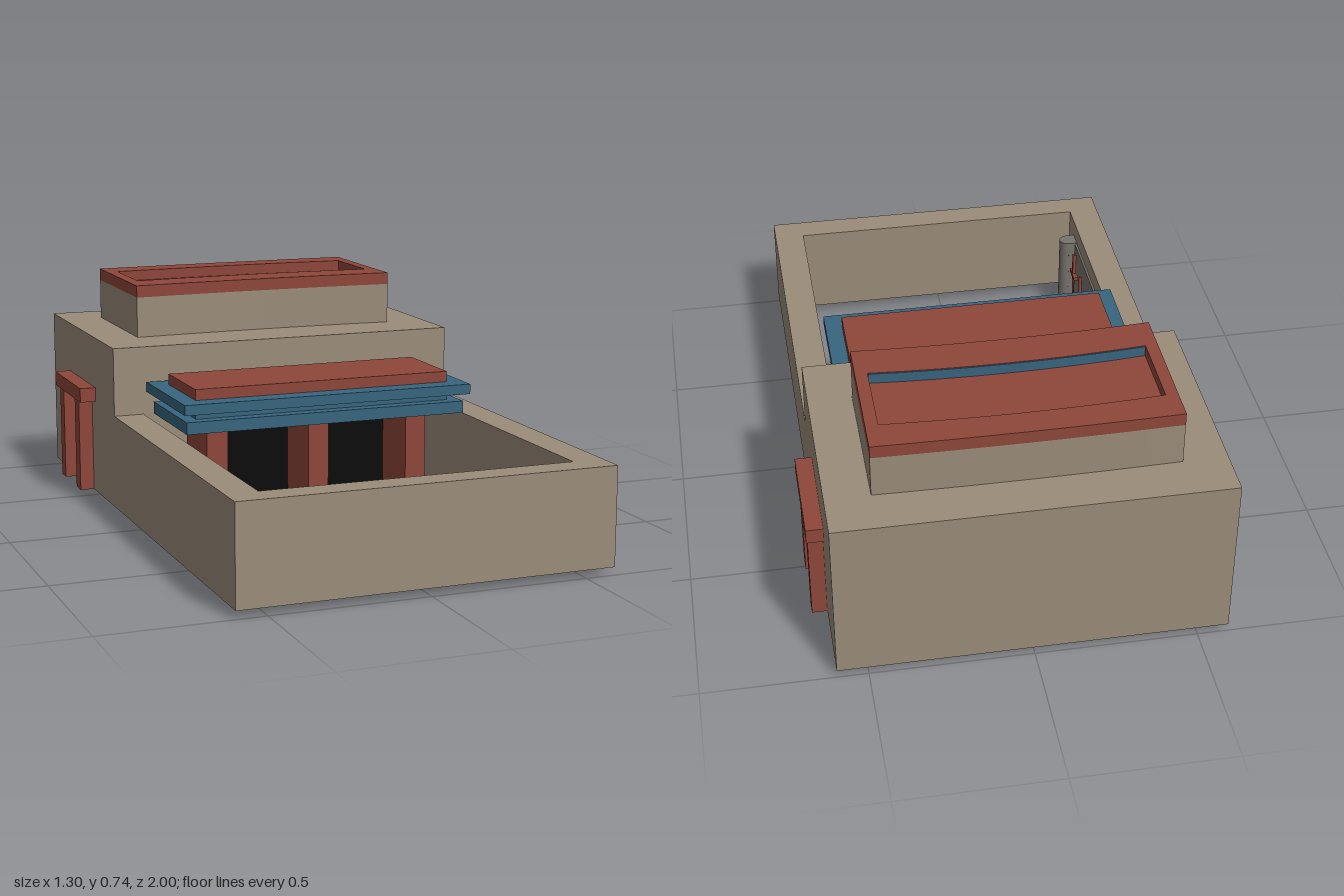
import * as THREE from 'three';

const mat = (name, color, side = THREE.FrontSide) => {
  const m = new THREE.MeshStandardMaterial({ color, side });
  m.name = name;
  return m;
};

export function createModel() {
  const root = new THREE.Group();
  root.name = 'courtyardBuilding';
  const stone = mat('sandstone', 0x9a8c79);
  const red = mat('brickRed', 0x8e463a);
  const blue = mat('tealBlue', 0x38657f);
  const black = mat('doorBlack', 0x0c0c0c);
  const grey = mat('stoneGrey', 0x77726d);

  const add = (name, geo, material, parent = root) => {
    const mesh = new THREE.Mesh(geo, material);
    mesh.name = name;
    parent.add(mesh);
    return mesh;
  };
  // Box given by its limits on each axis
  const box = (name, material, [x0, x1], [y0, y1], [z0, z1], parent) => {
    const g = new THREE.BoxGeometry(x1 - x0, y1 - y0, z1 - z0);
    g.translate((x0 + x1) / 2, (y0 + y1) / 2, (z0 + z1) / 2);
    return add(name, g, material, parent);
  };
  // Plan outline whose front and back edges bow towards the rear by "bow"
  const plan = (w, zBack, zFront, bowBack = 0, bowFront = 0, Type = THREE.Shape) => {
    const s = new Type();
    s.moveTo(-w, -zFront);
    s.quadraticCurveTo(0, -zFront + 2 * bowFront, w, -zFront);
    s.lineTo(w, -zBack);
    s.quadraticCurveTo(0, -zBack + 2 * bowBack, -w, -zBack);
    s.closePath();
    return s;
  };
  const raise = (name, material, shape, y0, y1) => {
    const g = new THREE.ExtrudeGeometry(shape, { depth: y1 - y0, bevelEnabled: false, curveSegments: 8 });
    g.rotateX(-Math.PI / 2).translate(0, y0, 0);
    return add(name, g, material);
  };

  // Hollow main hall, open underneath
  const hall = plan(0.595, -1, -0.205);
  hall.holes.push(plan(0.583, -0.988, -0.217, 0, 0, THREE.Path));
  raise('hallWalls', stone, hall, 0.025, 0.54);
  box('hallRoof', stone, [-0.595, 0.595], [0.54, 0.56], [-1, -0.205]);

  // Low courtyard wall
  const yard = new THREE.Shape([
    [-0.595, 0.205], [-0.595, -1], [0.595, -1], [0.595, 0.205],
    [0.495, 0.205], [0.495, -0.91], [-0.495, -0.91], [-0.495, 0.205],
  ].map(([x, y]) => new THREE.Vector2(x, y)));
  raise('courtyardWall', stone, yard, 0.025, 0.335);

  // Upper storey with a recessed red roof
  raise('upperStorey', stone, plan(0.458, -0.855, -0.39, 0.006, 0.014), 0.56, 0.695);
  const rim = plan(0.458, -0.855, -0.39, 0.006, 0.014);
  rim.holes.push(plan(0.42, -0.757, -0.508, 0.014, 0.018, THREE.Path));
  raise('roofRim', red, rim, 0.695, 0.735);
  raise('roofFloor', red, plan(0.425, -0.765, -0.5, 0.014, 0.018), 0.69, 0.7);
  // Blue strip on the rear-facing inside of the rim
  raise('roofRimStrip', blue, plan(0.418, -0.511, -0.507, 0.018, 0.018), 0.7, 0.733);

  // Side doors, mirrored
  for (const s of [1, -1]) {
    const door = new THREE.Group();
    door.name = s > 0 ? 'leftDoor' : 'rightDoor';
    root.add(door);
    const xs = (a, b) => (s > 0 ? [a, b] : [-b, -a]);
    box('doorPanel', black, xs(0.575, 0.603), [0.027, 0.34], [-0.69, -0.54], door);
    box('rearJamb', red, xs(0.55, 0.642), [0.025, 0.34], [-0.74, -0.69], door);
    box('frontJamb', red, xs(0.55, 0.642), [0.025, 0.34], [-0.54, -0.485], door);
    box('doorLintel', red, xs(0.55, 0.648), [0.34, 0.388], [-0.78, -0.44], door);
  }

  // Entrance porch: pillars, dark doorways and layered canopy
  for (const x of [-0.345, 0, 0.345]) {
    box('porchPillar', red, [x - 0.035, x + 0.035], [0.022, 0.346], [-0.1, 0.11]);
  }
  for (const x of [-0.1725, 0.1725]) {
    box('porchDoorway', black, [x - 0.1375, x + 0.1375], [0.025, 0.346], [-0.1, -0.08]);
  }
  box('lowerCanopy', blue, [-0.475, 0.475], [0.346, 0.385], [-0.155, 0.2]);
  box('canopyNeck', blue, [-0.433, 0.433], [0.385, 0.412], [-0.125, 0.16]);
  box('upperCanopy', blue, [-0.488, 0.488], [0.412, 0.445], [-0.19, 0.225]);
  box('canopyTop', red, [-0.433, 0.433], [0.445, 0.48], [-0.125, 0.16]);

  // Weapon rack on the inner right wall
  box('rackPanel', grey, [-0.496, -0.488], [0.04, 0.275], [0.29, 0.8]);
  for (const z of [0.278, 0.808]) {
    box('rackPostBase', grey, [-0.496, -0.466], [0.025, 0.28], [z - 0.028, z + 0.028]);
    const post = add('rackPost', new THREE.CylinderGeometry(0.028, 0.028, 0.255, 16), grey);
    post.position.set(-0.464, 0.1525, z);
  }
  const shield = add('shield', new THREE.CylinderGeometry(0.05, 0.078, 0.016, 24), red);
  shield.rotation.z = -Math.PI / 2;
  shield.position.set(-0.472, 0.16, 0.432);
  box('shieldBand', grey, [-0.465, -0.46], [0.1, 0.22], [0.424, 0.44]);
  const rod = add('maceHandle', new THREE.CylinderGeometry(0.006, 0.006, 0.2, 8), red);
  rod.position.set(-0.468, 0.16, 0.588);
  const mace = add('maceHead', new THREE.SphereGeometry(0.017, 12, 8), red);
  mace.position.set(-0.468, 0.08, 0.588);
  box('swordGrip', red, [-0.476, -0.464], [0.2, 0.28], [0.698, 0.71]);
  box('swordGuard', red, [-0.478, -0.462], [0.19, 0.202], [0.67, 0.735]);
  const blade = add('swordBlade', new THREE.CylinderGeometry(0.011, 0.001, 0.19, 4), red);
  blade.scale.x = 0.5;
  blade.position.set(-0.47, 0.095, 0.71);

  return root;
}
